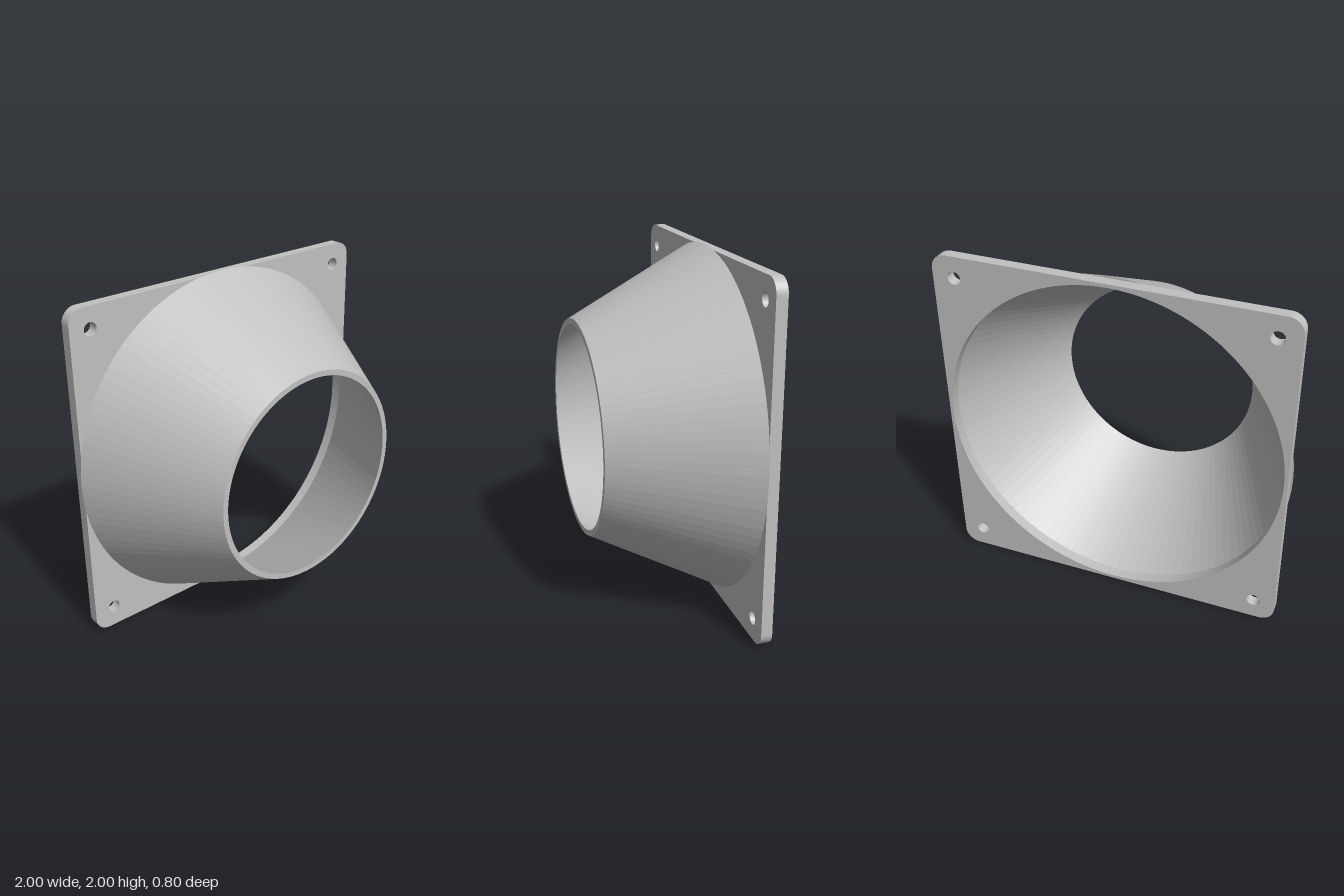
import * as THREE from 'three';

const SEGMENTS = 100;
const BACK = -0.4, FLANGE_FRONT = -0.337, FRONT = 0.4;

// Square plate with rounded corners, a large bore and four screw holes
function flangeGeometry() {
  const h = 0.987, r = 0.085;
  const shape = new THREE.Shape();
  [[1, 1], [-1, 1], [-1, -1], [1, -1]].forEach(([sx, sy], i) => {
    const start = i * Math.PI / 2;
    shape.absarc(sx * (h - r), sy * (h - r), r, start, start + Math.PI / 2, false);
  });
  shape.closePath();

  const addHole = (x, y, radius) => {
    const hole = new THREE.Path();
    hole.absarc(x, y, radius, 0, Math.PI * 2, true);
    shape.holes.push(hole);
  };
  addHole(0, 0, 0.967);
  for (const x of [-0.863, 0.863]) for (const y of [-0.863, 0.863]) addHole(x, y, 0.038);

  const geometry = new THREE.ExtrudeGeometry(shape, {
    depth: FLANGE_FRONT - BACK, bevelEnabled: false, curveSegments: SEGMENTS,
  });
  return geometry.translate(0, 0, BACK);
}

// Hollow tapered duct, narrowing towards the front, with faceted walls
function ductGeometry() {
  const profile = [
    [0.967, FLANGE_FRONT], [1, FLANGE_FRONT], [0.615, FRONT], [0.583, FRONT], [0.967, FLANGE_FRONT],
  ].map(([x, y]) => new THREE.Vector2(x, y));
  const geometry = new THREE.LatheGeometry(profile, SEGMENTS).rotateX(Math.PI / 2).toNonIndexed();
  geometry.computeVertexNormals();
  return geometry;
}

export function createModel() {
  const grey = new THREE.MeshStandardMaterial({ color: 0xc0c0c0 });
  grey.name = 'light grey';

  const group = new THREE.Group();
  group.name = 'ductAdapter';
  for (const [name, geometry] of [['flange', flangeGeometry()], ['taperedDuct', ductGeometry()]]) {
    const mesh = new THREE.Mesh(geometry, grey);
    mesh.name = name;
    mesh.position.y = 1;
    group.add(mesh);
  }
  return group;
}
